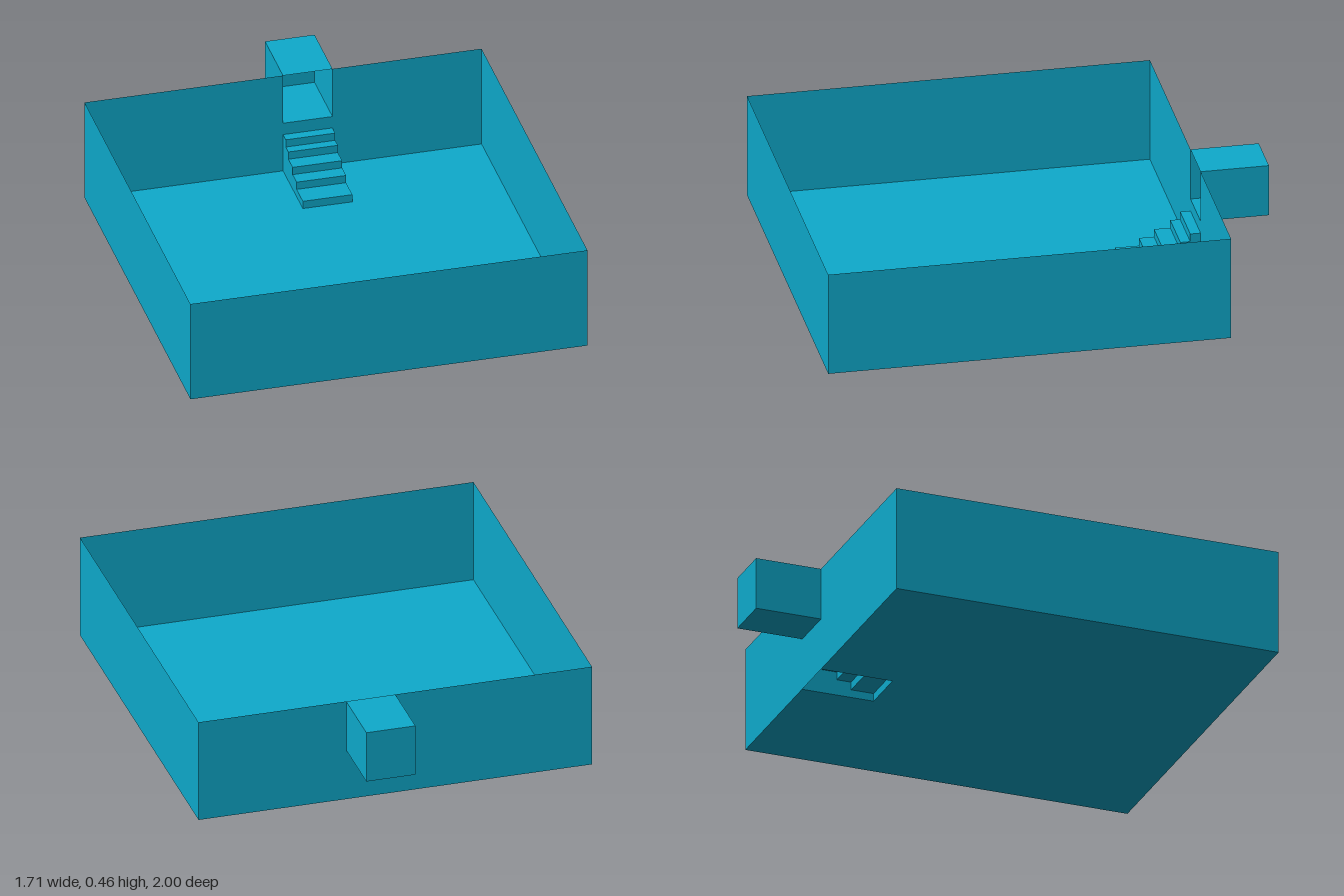
import * as THREE from 'three';

const W = 0.855, FRONT = 1, BACK = -0.71, H = 0.46;      // basin
const SX0 = 0, SX1 = 0.213, SILL = 0.23, END = -1;       // alcove and stairs
const STEP_Z = [-0.39, -0.491, -0.555, -0.624, -0.666, BACK];
const RISE = 0.035;

export function createModel() {
  const model = new THREE.Group();
  model.name = 'basin';
  const blue = new THREE.MeshStandardMaterial({ color: 0x0eaacc, side: THREE.DoubleSide });
  blue.name = 'poolBlue';

  // Flat sheet from an outline of [u, v] points, placed in one of three planes
  const sheet = (name, plane, at, points, parent = model) => {
    const shape = new THREE.Shape(points.map(([u, v]) => new THREE.Vector2(u, v)));
    const geo = new THREE.ShapeGeometry(shape);
    if (plane === 'floor') geo.rotateX(Math.PI / 2).translate(0, at, 0);        // u = x, v = z
    else if (plane === 'side') geo.rotateY(-Math.PI / 2).translate(at, 0, 0);   // u = z, v = y
    else geo.translate(0, 0, at);                                               // u = x, v = y
    // Side and floor sheets may face either way, the material is two-sided
    const mesh = new THREE.Mesh(geo, blue);
    mesh.name = name;
    parent.add(mesh);
    return mesh;
  };
  const rect = (u0, v0, u1, v1) => [[u0, v0], [u1, v0], [u1, v1], [u0, v1]];

  // Floor, notched under the hollow stairs
  sheet('floor', 'floor', 0, [
    [-W, FRONT], [-W, BACK], [SX0, BACK], [SX0, STEP_Z[0]],
    [SX1, STEP_Z[0]], [SX1, BACK], [W, BACK], [W, FRONT],
  ]);

  // Walls; the back one is cut down where the alcove opens
  sheet('frontWall', 'wall', FRONT, rect(-W, 0, W, H));
  sheet('backWall', 'wall', BACK, [
    [-W, 0], [W, 0], [W, H], [SX1, H], [SX1, SILL], [SX0, SILL], [SX0, H], [-W, H],
  ]);
  for (const [name, x] of [['rightWall', -W], ['leftWall', W]]) {
    sheet(name, 'side', x, rect(BACK, 0, FRONT, H));
  }

  // Entrance alcove behind the back wall
  const alcove = new THREE.Group();
  alcove.name = 'alcove';
  sheet('alcoveFloor', 'floor', SILL, rect(SX0, END, SX1, BACK), alcove);
  sheet('alcoveRoof', 'floor', H, rect(SX0, END, SX1, BACK), alcove);
  sheet('alcoveBack', 'wall', END, rect(SX0, SILL, SX1, H), alcove);
  for (const x of [SX0, SX1]) sheet('alcoveSide', 'side', x, rect(END, SILL, BACK, H), alcove);
  model.add(alcove);

  // Stairs: risers, treads and stepped cheeks
  const stairs = new THREE.Group();
  stairs.name = 'stairs';
  const profile = [[BACK, 0], [STEP_Z[0], 0]];
  for (let i = 0; i < STEP_Z.length - 1; i++) {
    const y = RISE * (i + 1);
    sheet('riser', 'wall', STEP_Z[i], rect(SX0, y - RISE, SX1, y), stairs);
    sheet('tread', 'floor', y, rect(SX0, STEP_Z[i + 1], SX1, STEP_Z[i]), stairs);
    profile.push([STEP_Z[i], y], [STEP_Z[i + 1], y]);
  }
  for (const x of [SX0, SX1]) sheet('stairSide', 'side', x, profile, stairs);
  model.add(stairs);

  return model;
}
